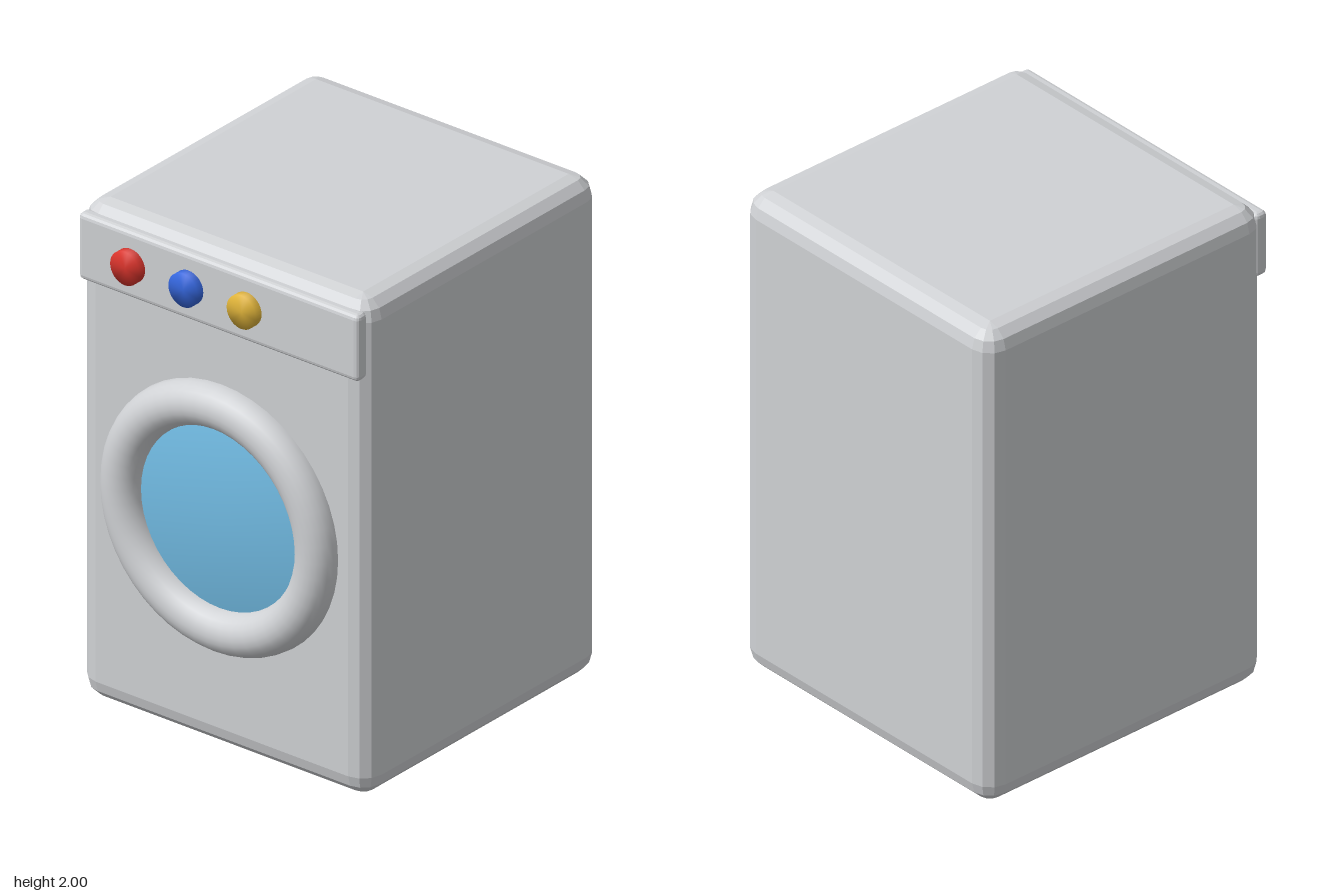
import * as THREE from 'three';
import { mergeVertices } from 'three/addons/utils/BufferGeometryUtils.js';
import { ConvexGeometry } from 'three/addons/geometries/ConvexGeometry.js';

const material = (name, color) => {
  const m = new THREE.MeshStandardMaterial({ color });
  m.name = name;
  return m;
};

// Box whose edges are rounded with three flat facets
function bevelledBox(w, h, d, r) {
  const points = [];
  for (const sx of [-1, 1]) for (const sy of [-1, 1]) for (const sz of [-1, 1]) {
    for (let i = 0; i <= 3; i++) {
      const a = i * Math.PI / 6;
      for (let j = 0; j <= (i === 3 ? 0 : 3); j++) {
        const b = j * Math.PI / 6;
        points.push(new THREE.Vector3(
          sx * (w / 2 - r + r * Math.cos(a) * Math.cos(b)),
          sy * (h / 2 - r + r * Math.sin(a)),
          sz * (d / 2 - r + r * Math.cos(a) * Math.sin(b))));
      }
    }
  }
  return new ConvexGeometry(points);
}

// Front-facing disc with normals shared between rim and caps
function softDisc(radius, depth, sides) {
  const g = new THREE.CylinderGeometry(radius, radius, depth, sides).rotateX(Math.PI / 2);
  g.deleteAttribute('normal');
  g.deleteAttribute('uv');
  const merged = mergeVertices(g);
  merged.computeVertexNormals();
  return merged;
}

export function createModel() {
  const model = new THREE.Group();
  model.name = 'washingMachine';
  const casing = material('casing grey', 0xd0d2d5);
  const glass = material('glass blue', 0x72bce4);

  const add = (name, geometry, mat, x, y, z) => {
    const mesh = new THREE.Mesh(geometry, mat);
    mesh.name = name;
    mesh.position.set(x, y, z);
    model.add(mesh);
  };

  // Cabinet and control panel
  add('cabinet', bevelledBox(1.328, 2, 1.333, 0.085), casing, 0, 1, -0.044);
  add('controlPanel', bevelledBox(1.286, 0.267, 0.058, 0.02), casing, 0, 1.827, 0.617);

  // Round door
  add('doorRing', new THREE.TorusGeometry(0.446, 0.087, 24, 48), casing, 0, 0.937, 0.623);
  add('doorGlass', softDisc(0.365, 0.05, 48), glass, 0, 0.937, 0.61);

  // Control knobs
  [['redKnob', 0xd9342c], ['blueKnob', 0x3566dc], ['yellowKnob', 0xdfb33a]].forEach(([name, color], i) => {
    add(name, softDisc(0.067, 0.067, 32), material(name + ' paint', color), -0.4 + i * 0.267, 1.827, 0.645);
  });
  return model;
}
